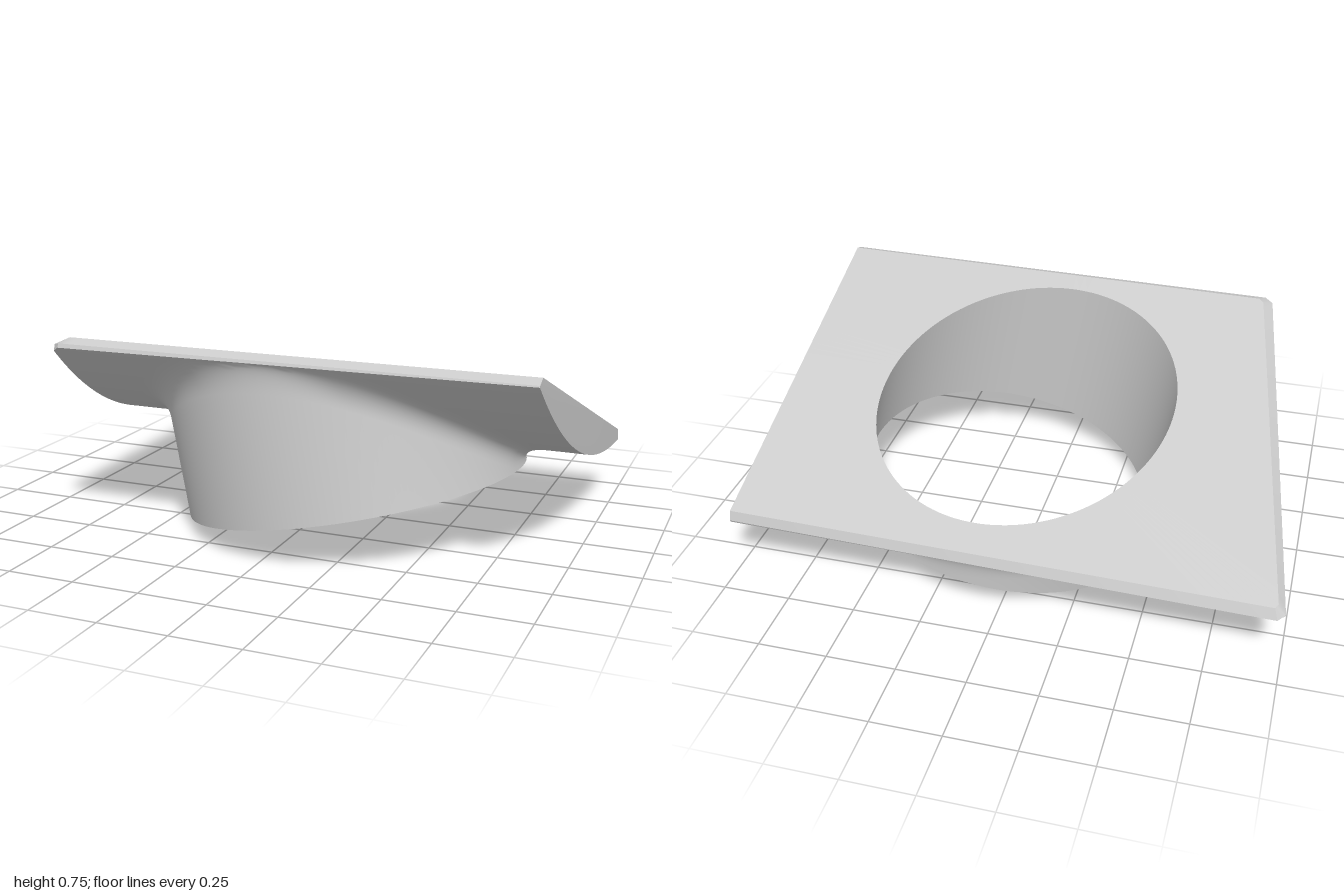
import * as THREE from 'three';
import { toCreasedNormals } from 'three/addons/utils/BufferGeometryUtils.js';

const V = (x, y, z) => new THREE.Vector3(x, y, z);

// Flange frame: x across, U up the slope, N out of the flat top
const ORIGIN = V(0, 0.507, 0);
const N = V(0, 0.934, -0.357).normalize();
const U = V(0, 0.357, 0.934).normalize();
// Collar frame: centre of the bottom ring and the leaning axis
const BASE = V(0.14, 0.135, 0.02);
const AXIS = V(-0.21, 1, -0.04).normalize();
const R_OUT = 0.642, R_IN = 0.545, FILLET = 0.09;

// Flange outlines (x, u): top edge and the wider edge below the chamfer
const TOP = [[-0.963, -0.712], [1.0, -0.68], [0.967, 0.675], [-0.725, 0.643], [-0.742, 0.625], [-0.972, -0.695]];
const RIM = [[-0.975, -0.741], [1.0, -0.702], [0.968, 0.709], [-0.745, 0.68], [-0.775, 0.655], [-1.0, -0.715]];
const CHAMFER = 0.03;

// Depth of the bowed underside below the flat top
const bow = (u) => Math.max(CHAMFER, 0.16 - (u * u) / 4.04);
const plate = (x, u, d) => ORIGIN.clone().addScaledVector(U, u).addScaledVector(N, -d).setX(x);
const toPlate = (p) => {
  const q = p.clone().sub(ORIGIN);
  return { x: p.x, u: q.dot(U), d: -q.dot(N) };
};

// Dense samples along an outline, same count for each edge
function sampleOutline(points) {
  const out = [];
  points.forEach(([x0, u0], i) => {
    const [x1, u1] = points[(i + 1) % points.length];
    const n = Math.hypot(x1 - x0, u1 - u0) < 0.1 ? 2 : 48;
    for (let k = 0; k < n; k++) out.push([x0 + (x1 - x0) * k / n, u0 + (u1 - u0) * k / n]);
  });
  return out;
}

// Skin a closed ring of columns
function skin(columns) {
  const rows = columns[0].length, pos = [], idx = [];
  columns.forEach((col, i) => {
    const j = (i + 1) % columns.length;
    col.forEach((p, k) => {
      pos.push(p.x, p.y, p.z);
      if (k === rows - 1) return;
      const a = i * rows + k, b = j * rows + k;
      idx.push(a, b, a + 1, b, b + 1, a + 1);
    });
  });
  const g = new THREE.BufferGeometry();
  g.setAttribute('position', new THREE.Float32BufferAttribute(pos, 3));
  g.setIndex(idx);
  return toCreasedNormals(g, 0.5);
}

export function createModel() {
  const group = new THREE.Group();
  const material = new THREE.MeshStandardMaterial({ color: 0xcccccc });

  // Where the collar axis meets the flat top
  const h = ORIGIN.clone().sub(BASE).dot(N) / AXIS.dot(N);
  const centre = BASE.clone().addScaledVector(AXIS, h);
  const top = sampleOutline(TOP), rim = sampleOutline(RIM);
  const flangeColumns = [], collarColumns = [];

  rim.forEach(([x, u], i) => {
    // Direction from the hole centre, in the flange and across the collar
    const dir = plate(x, u, 0).sub(centre).normalize();
    const radial = dir.clone().addScaledVector(AXIS, -dir.dot(AXIS));
    const spread = radial.length();
    radial.divideScalar(spread);
    const holeEdge = centre.clone().addScaledVector(dir, R_IN / spread);
    const outerBottom = BASE.clone().addScaledVector(radial, R_OUT);

    // Height at which the collar wall reaches the bowed underside
    let height = 0.2;
    const onWall = (t) => outerBottom.clone().addScaledVector(AXIS, t);
    for (let k = 0; k < 20; k++) {
      const q = toPlate(onWall(height));
      height += (q.d - bow(q.u)) * 0.95;
    }
    const corner = onWall(height), c = toPlate(corner);

    // Fillet, shortened where the rim or the bottom ring is close
    const reach = Math.hypot(x - c.x, u - c.u);
    const s = Math.min(FILLET, reach * 0.95) / reach;
    const under = (t) => {
      const uu = c.u + (u - c.u) * t;
      return plate(c.x + (x - c.x) * t, uu, bow(uu));
    };
    const wallTop = onWall(height - Math.min(FILLET, height * 0.85));
    const fillet = new THREE.QuadraticBezierCurve3(under(s), corner, wallTop).getPoints(9);

    // Flange: flat top, chamfer, end face, underside
    const flange = [holeEdge, plate(top[i][0], top[i][1], 0), plate(x, u, CHAMFER)];
    for (let k = 0; k <= 8; k++) flange.push(under(1 + (s - 1) * k / 8));
    flangeColumns.push(flange);

    // Collar: fillet, outer wall, bottom ring, bore
    collarColumns.push([...fillet, outerBottom, BASE.clone().addScaledVector(radial, R_IN), holeEdge]);
  });

  for (const [name, columns] of [['flange', flangeColumns], ['collar', collarColumns]]) {
    const mesh = new THREE.Mesh(skin(columns), material);
    mesh.name = name;
    group.add(mesh);
  }
  return group;
}
